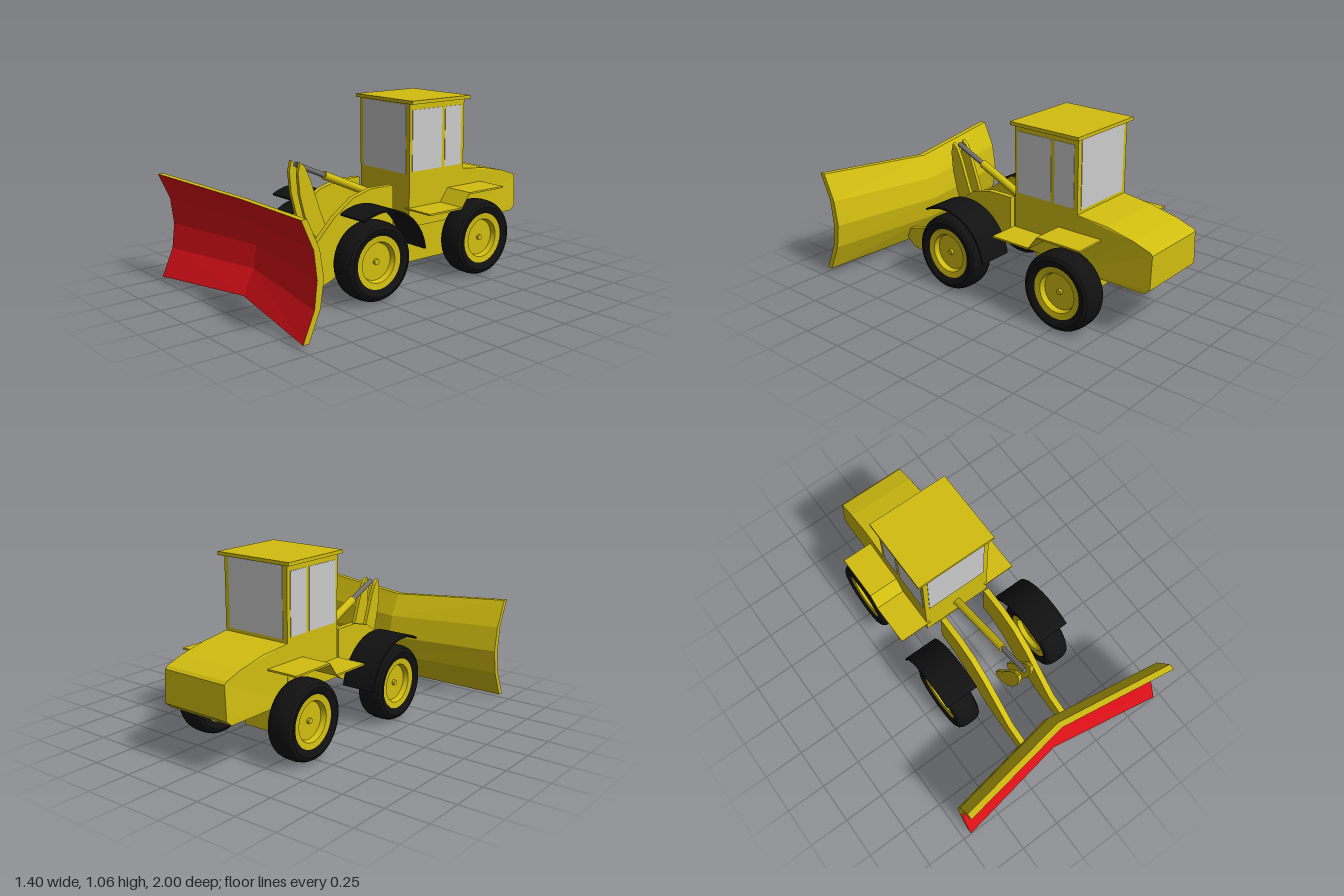
import * as THREE from 'three';
import { toCreasedNormals } from 'three/addons/utils/BufferGeometryUtils.js';

const mat = (color) => new THREE.MeshStandardMaterial({ color });
const yellow = mat(0xd2be10), red = mat(0xe01018), black = mat(0x111111);
const steel = mat(0x707070), glass = mat(0xcccccc);

export function createModel() {
  const model = new THREE.Group();

  const add = (name, geometry, material, parent = model) => {
    const mesh = new THREE.Mesh(geometry, material);
    mesh.name = name;
    parent.add(mesh);
    return mesh;
  };

  // Box given by its limits on each axis
  const box = (name, [x0, x1], [y0, y1], [z0, z1], material = yellow) => {
    const mesh = add(name, new THREE.BoxGeometry(x1 - x0, y1 - y0, z1 - z0), material);
    mesh.position.set((x0 + x1) / 2, (y0 + y1) / 2, (z0 + z1) / 2);
    return mesh;
  };

  // Side profile of [z, y] points, extruded from x0 to x1
  const profile = (points, x0, x1) => {
    const shape = new THREE.Shape(points.map(([z, y]) => new THREE.Vector2(z, y)));
    return new THREE.ExtrudeGeometry(shape, { depth: x1 - x0, bevelEnabled: false })
      .rotateY(-Math.PI / 2).translate(x1, 0, 0);
  };

  const lathe = (points) => toCreasedNormals(
    new THREE.LatheGeometry(points.map(([r, h]) => new THREE.Vector2(r, h)), 40).rotateZ(-Math.PI / 2), 0.6);

  // Cab, windows and roof
  box('cab', [-0.22, 0.22], [0.325, 1.04], [-0.53, -0.1]);
  box('roof', [-0.25, 0.25], [1.04, 1.06], [-0.55, -0.09]);
  box('frontWindow', [-0.19, 0.19], [0.635, 1.035], [-0.11, -0.097], glass);
  box('rearWindow', [-0.19, 0.19], [0.64, 1.035], [-0.533, -0.52], glass);
  for (const s of [-1, 1]) {
    const x = [s * 0.215 - 0.008, s * 0.215 + 0.008];
    box('sideWindow', x, [0.65, 1.005], [-0.35, -0.12], glass);
    box('rearSideWindow', x, [0.65, 1.005], [-0.505, -0.375], glass);
  }

  // Engine hood, narrowing a little along its rear top edges
  const hood = profile([[-0.5, 0.295], [-0.5, 0.62], [-0.53, 0.62], [-0.72, 0.6], [-0.88, 0.565],
    [-0.985, 0.53], [-1, 0.515], [-1, 0.325], [-0.965, 0.295]], -0.22, 0.22);
  const hp = hood.attributes.position;
  for (let i = 0; i < hp.count; i++) {
    if (hp.getY(i) > 0.5 && hp.getZ(i) < -0.7) hp.setX(i, hp.getX(i) * 0.96);
  }
  hood.computeVertexNormals();
  add('hood', hood, yellow);
  box('chassis', [-0.125, 0.125], [0.08, 0.33], [-0.5, -0.17]);

  // Front fender arc, thinning towards its front end
  const arc = [];
  for (let i = 0; i <= 24; i++) {
    const a = THREE.MathUtils.lerp(1.1, 3.03, i / 24);
    arc.push([a, 0.28 + 0.02 * (i / 24)]);
  }
  const onArc = ([a, r], t) => [0.27 + Math.cos(a) * (r + t), 0.225 + Math.sin(a) * (r + t)];
  const frontFenderPoints = [...arc.map((p) => onArc(p, 0.012)), ...arc.map((p) => onArc(p, 0)).reverse()];

  const rearFenderPoints = [[-0.09, 0.43], [-0.34, 0.43], [-0.4, 0.51], [-0.685, 0.51],
    [-0.685, 0.52], [-0.405, 0.52], [-0.345, 0.44], [-0.09, 0.44]];

  // Lifting arm plate running from the joint to the blade
  const armPoints = [[-0.02, 0.58], [0.14, 0.58], [0.27, 0.545], [0.4, 0.455], [0.5, 0.355],
    [0.65, 0.21], [0.82, 0.165], [0.85, 0.1], [0.79, 0.045], [0.68, 0.035], [0.56, 0.055],
    [0.43, 0.1], [0.3, 0.18], [0.18, 0.27], [0.06, 0.315], [-0.02, 0.315]];

  // Tilt lever
  const leverPoints = [[0.54, 0.76], [0.555, 0.7], [0.545, 0.58], [0.515, 0.46], [0.47, 0.36],
    [0.42, 0.3], [0.37, 0.3], [0.36, 0.35], [0.405, 0.46], [0.44, 0.56], [0.475, 0.66], [0.51, 0.735]];

  // Tire with rounded shoulders, dished rim and hub, alike on both faces
  const tire = lathe([[0.145, -0.06], [0.165, -0.075], [0.19, -0.08], [0.21, -0.07], [0.22, -0.052],
    [0.225, -0.025], [0.225, 0.025], [0.22, 0.052], [0.21, 0.07], [0.19, 0.08], [0.165, 0.075], [0.145, 0.06]]);
  const rimHalf = [[0, 0.045], [0.016, 0.045], [0.016, 0.03], [0.105, 0.03], [0.115, 0.06], [0.15, 0.064]];
  const rim = lathe([...rimHalf.map(([r, h]) => [r, -h]), ...rimHalf.slice().reverse()]);

  for (const s of [-1, 1]) {
    const span = (a, b) => (s > 0 ? [a, b] : [-b, -a]);
    add('frontFender', toCreasedNormals(profile(frontFenderPoints, ...span(0.22, 0.43)), 0.5), black);
    add('rearFender', profile(rearFenderPoints, ...span(0.2, 0.405)), yellow);
    add('liftArm', toCreasedNormals(profile(armPoints, ...span(0.135, 0.17)), 0.3), yellow);
    add('tiltLever', toCreasedNormals(profile(leverPoints, ...span(0.03, 0.052)), 0.3), yellow);
    for (const [name, z] of [['frontWheel', 0.27], ['rearWheel', -0.53]]) {
      const wheel = new THREE.Group();
      wheel.name = name;
      wheel.position.set(s * 0.33, 0.225, z);
      add('tire', tire, black, wheel);
      add('rim', rim, yellow, wheel);
      model.add(wheel);
    }
  }

  // Hydraulic cylinder and rod between cab and levers
  const rodBetween = (name, a, b, radius, material) => {
    const from = new THREE.Vector3(...a), dir = new THREE.Vector3(...b).sub(from);
    const mesh = add(name, new THREE.CylinderGeometry(radius, radius, dir.length(), 20), material);
    mesh.position.copy(from).addScaledVector(dir, 0.5);
    mesh.quaternion.setFromUnitVectors(new THREE.Vector3(0, 1, 0), dir.normalize());
  };
  rodBetween('tiltCylinder', [0, 0.455, -0.11], [0, 0.658, 0.345], 0.024, yellow);
  rodBetween('tiltRod', [0, 0.64, 0.305], [0, 0.742, 0.535], 0.015, steel);

  // Blade sections at right tip, middle and left tip, swept into a V
  const front = [[1, 0.305], [0.93, 0.15], [0.912, 0], [0.93, -0.145], [1, -0.305]];
  const back = [[0.965, 0.305], [0.895, 0.15], [0.872, 0], [0.895, -0.145], [0.965, -0.305]];
  const section = (list, x) => list.map(([z, y]) => x === 0
    ? [0, 0.335 + y * 0.87, z - 0.112] : [x, 0.335 + y, z]);
  const quads = (list) => {
    const g = new THREE.BufferGeometry();
    const verts = list.flatMap(([a, b, c, d]) => [a, b, c, a, c, d]).flat();
    g.setAttribute('position', new THREE.Float32BufferAttribute(verts, 3));
    g.computeVertexNormals();
    return g;
  };
  const face = [], shell = [];
  for (const [x0, x1] of [[-0.7, 0], [0, 0.7]]) {
    const f0 = section(front, x0), f1 = section(front, x1);
    const b0 = section(back, x0), b1 = section(back, x1);
    for (let i = 0; i < 4; i++) {
      face.push([f0[i], f0[i + 1], f1[i + 1], f1[i]]);
      shell.push([b0[i], b1[i], b1[i + 1], b0[i + 1]]);
      if (x0 < 0) shell.push([f0[i], b0[i], b0[i + 1], f0[i + 1]]);
      else shell.push([f1[i], f1[i + 1], b1[i + 1], b1[i]]);
    }
    shell.push([f0[0], f1[0], b1[0], b0[0]], [f0[4], b0[4], b1[4], f1[4]]);
  }
  add('bladeFace', quads(face), red);
  add('bladeBack', quads(shell), yellow);

  return model;
}
